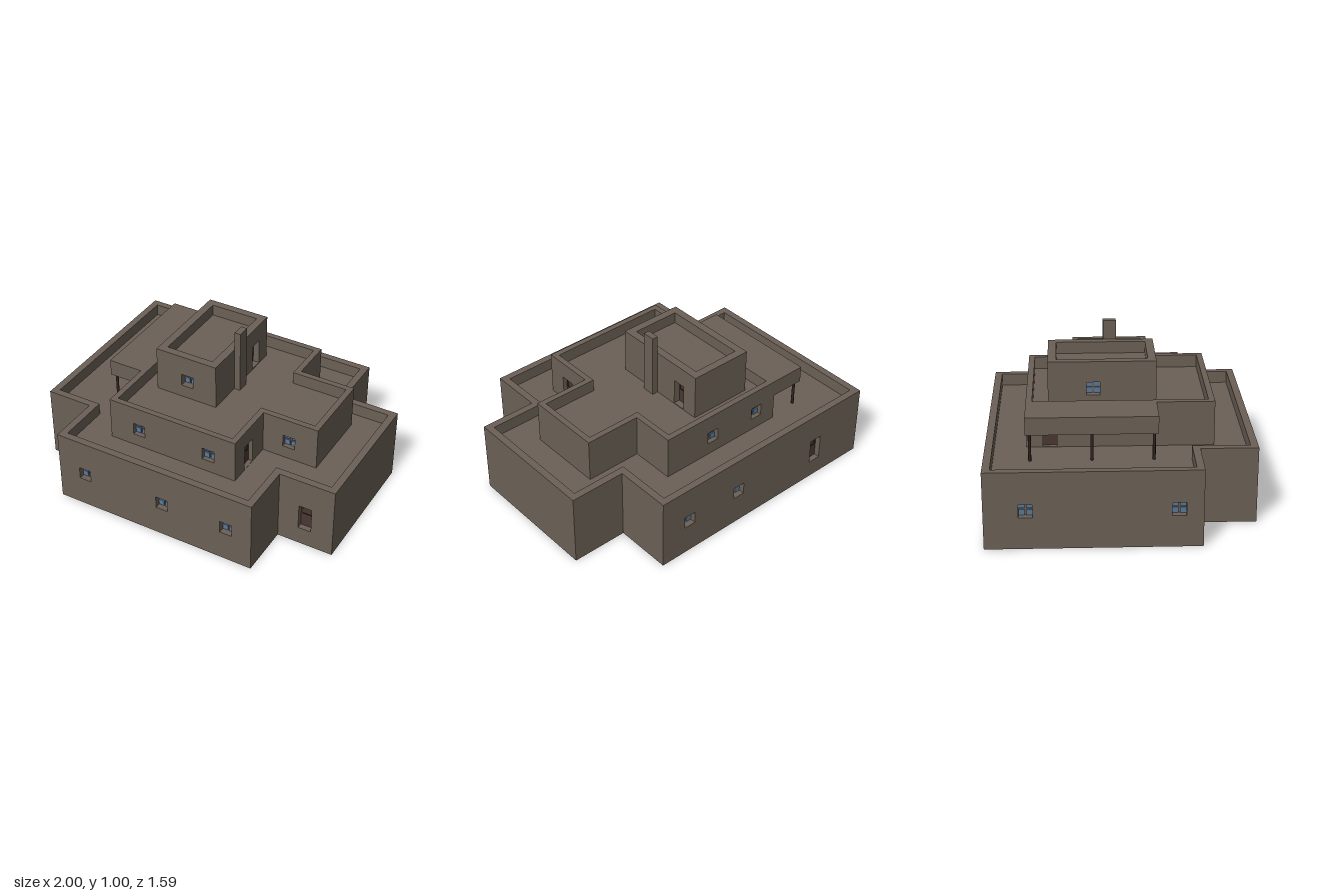
import * as THREE from 'three';

const mat = (name, color) => Object.assign(new THREE.MeshStandardMaterial({ color }), { name });

export function createModel() {
  const wallMat = mat('plaster', 0x6b6056);
  const glassMat = mat('window glass', 0x5a7899);
  const doorMat = mat('door wood', 0x4a3731);
  const darkMat = mat('dark timber', 0x2f2320);

  const house = new THREE.Group();
  house.name = 'terracedHouse';

  const add = (parent, name, geometry, material) => {
    const mesh = new THREE.Mesh(geometry, material);
    mesh.name = name;
    parent.add(mesh);
    return mesh;
  };

  // Box given by its minimum and maximum corners
  const box = (parent, name, material, [x0, y0, z0], [x1, y1, z1]) => {
    const mesh = add(parent, name, new THREE.BoxGeometry(x1 - x0, y1 - y0, z1 - z0), material);
    mesh.position.set((x0 + x1) / 2, (y0 + y1) / 2, (z0 + z1) / 2);
    return mesh;
  };

  // Four panes at the back of a recess
  function addWindow(wall, s, y0, back) {
    const group = new THREE.Group();
    group.name = 'window';
    group.position.set(s, y0 + 0.04, back);
    for (const i of [-1, 1]) for (const j of [-1, 1]) {
      const pane = add(group, 'pane', new THREE.BoxGeometry(0.035, 0.035, 0.008), glassMat);
      pane.position.set(i * 0.0225, j * 0.0225, 0.004);
    }
    wall.add(group);
  }

  // Panelled door leaf with dark rails at the back of a recess
  function addDoor(wall, s, y0, w, h, back) {
    const group = new THREE.Group();
    group.name = 'door';
    group.position.set(s, y0, back);
    box(group, 'doorLeaf', doorMat, [-w / 2, 0, 0], [w / 2, h, 0.009]);
    for (const y of [h * 0.53, h * 0.91]) {
      box(group, 'doorRail', darkMat, [-w * 0.4, y, 0.009], [w * 0.4, y + 0.007, 0.013]);
    }
    for (const x of [-w * 0.4, w * 0.36]) {
      box(group, 'doorStile', darkMat, [x, h * 0.53, 0.009], [x + w * 0.04, h * 0.93, 0.013]);
    }
    wall.add(group);
  }

  // One storey: solid core up to the roof deck, pierced outer walls rising to a parapet.
  // The outline holds [x, z] corners, running +x along the front.
  function addStorey({ name, outline, base, deck, top, t, sill, openings }) {
    const storey = new THREE.Group();
    storey.name = name;
    house.add(storey);
    const n = outline.length;
    const dirs = outline.map(([x, z], i) => {
      const [qx, qz] = outline[(i + 1) % n];
      return [Math.sign(qx - x), Math.sign(qz - z)];
    });
    const isConvex = (i) => {
      const a = dirs[(i + n - 1) % n], b = dirs[i % n];
      return a[0] * b[1] - a[1] * b[0] < 0;
    };

    const inset = outline.map(([x, z], i) => {
      const a = dirs[(i + n - 1) % n], b = dirs[i];
      return new THREE.Vector2(x + t * (a[1] + b[1]), -(z - t * (a[0] + b[0])));
    });
    const core = new THREE.ExtrudeGeometry(new THREE.Shape(inset), { depth: deck - base, bevelEnabled: false });
    core.rotateX(-Math.PI / 2).translate(0, base, 0);
    add(storey, 'coreAndRoofDeck', core, wallMat);

    outline.forEach(([x, z], i) => {
      const [dx, dz] = dirs[i];
      const [qx, qz] = outline[(i + 1) % n];
      const length = Math.abs(qx - x) + Math.abs(qz - z);
      const start = isConvex(i) ? t : 0;
      const end = isConvex(i + 1) ? length : length + t;
      const wall = new THREE.Group();
      wall.name = 'wall';
      wall.position.set(x, 0, z);
      wall.rotation.y = Math.atan2(-dz, dx);

      const shape = new THREE.Shape();
      shape.moveTo(start, base).lineTo(end, base).lineTo(end, top).lineTo(start, top).closePath();
      const along = (c) => (dx ? (c - x) * dx : (c - z) * dz);
      const cut = (s, y0, w, h) => {
        const hole = new THREE.Path();
        hole.moveTo(s - w / 2, y0).lineTo(s - w / 2, y0 + h).lineTo(s + w / 2, y0 + h).lineTo(s + w / 2, y0).closePath();
        shape.holes.push(hole);
      };
      const { windows = [], doors = [], doorWidth = 0.084 } = openings[i] || {};
      for (const c of windows) {
        cut(along(c), sill, 0.08, 0.08);
        addWindow(wall, along(c), sill, -t);
      }
      for (const c of doors) {
        cut(along(c), sill - 0.077, doorWidth, 0.167);
        addDoor(wall, along(c), sill - 0.077, doorWidth, 0.167, -t);
      }
      const panel = new THREE.ExtrudeGeometry(shape, { depth: t, bevelEnabled: false });
      add(wall, 'wallPanel', panel.translate(0, 0, -t), wallMat);
      storey.add(wall);
    });
  }

  addStorey({
    name: 'groundStorey', base: 0, deck: 0.395, top: 0.472, t: 0.045, sill: 0.194,
    outline: [[-0.7, 0.79], [0.64, 0.79], [0.64, 0.45], [1, 0.45], [1, -0.43],
      [0.64, -0.43], [0.64, -0.795], [-1, -0.795], [-1, 0.45], [-0.7, 0.45]],
    openings: {
      0: { windows: [-0.513, 0.035, 0.473] },
      2: { doors: [0.815] },
      4: { windows: [0.281, -0.213] },
      6: { windows: [0.433, 0.04], doors: [-0.617] },
      7: { windows: [-0.556, 0.31] },
    },
  });

  addStorey({
    name: 'middleStorey', base: 0.38, deck: 0.592, top: 0.672, t: 0.037, sill: 0.474,
    outline: [[-0.465, 0.555], [0.4, 0.555], [0.4, 0.21], [0.76, 0.21], [0.76, -0.28],
      [0.4, -0.28], [0.4, -0.56], [-0.465, -0.56]],
    openings: {
      0: { windows: [-0.262, 0.218] },
      1: { doors: [0.389], doorWidth: 0.096 },
      2: { windows: [0.573] },
      6: { windows: [0.043, -0.315] },
      7: { doors: [-0.42] },
    },
  });

  addStorey({
    name: 'topStorey', base: 0.57, deck: 0.81, top: 0.883, t: 0.05, sill: 0.674,
    outline: [[-0.34, 0.215], [0.075, 0.215], [0.075, -0.43], [-0.34, -0.43]],
    openings: {
      0: { windows: [-0.125] },
      1: { doors: [-0.287] },
      3: { windows: [-0.16] },
    },
  });

  // Chimney against the top storey
  box(house, 'chimney', wallMat, [0.075, 0.58, -0.092], [0.115, 1.004, -0.012]);

  // Porch roof on slim posts
  box(house, 'porchRoof', wallMat, [-0.692, 0.565, -0.56], [-0.465, 0.672, 0.21]);
  for (const z of [-0.535, -0.175, 0.185]) {
    const post = add(house, 'porchPost', new THREE.CylinderGeometry(0.009, 0.009, 0.18, 10), darkMat);
    post.position.set(-0.663, 0.48, z);
  }

  return house;
}
